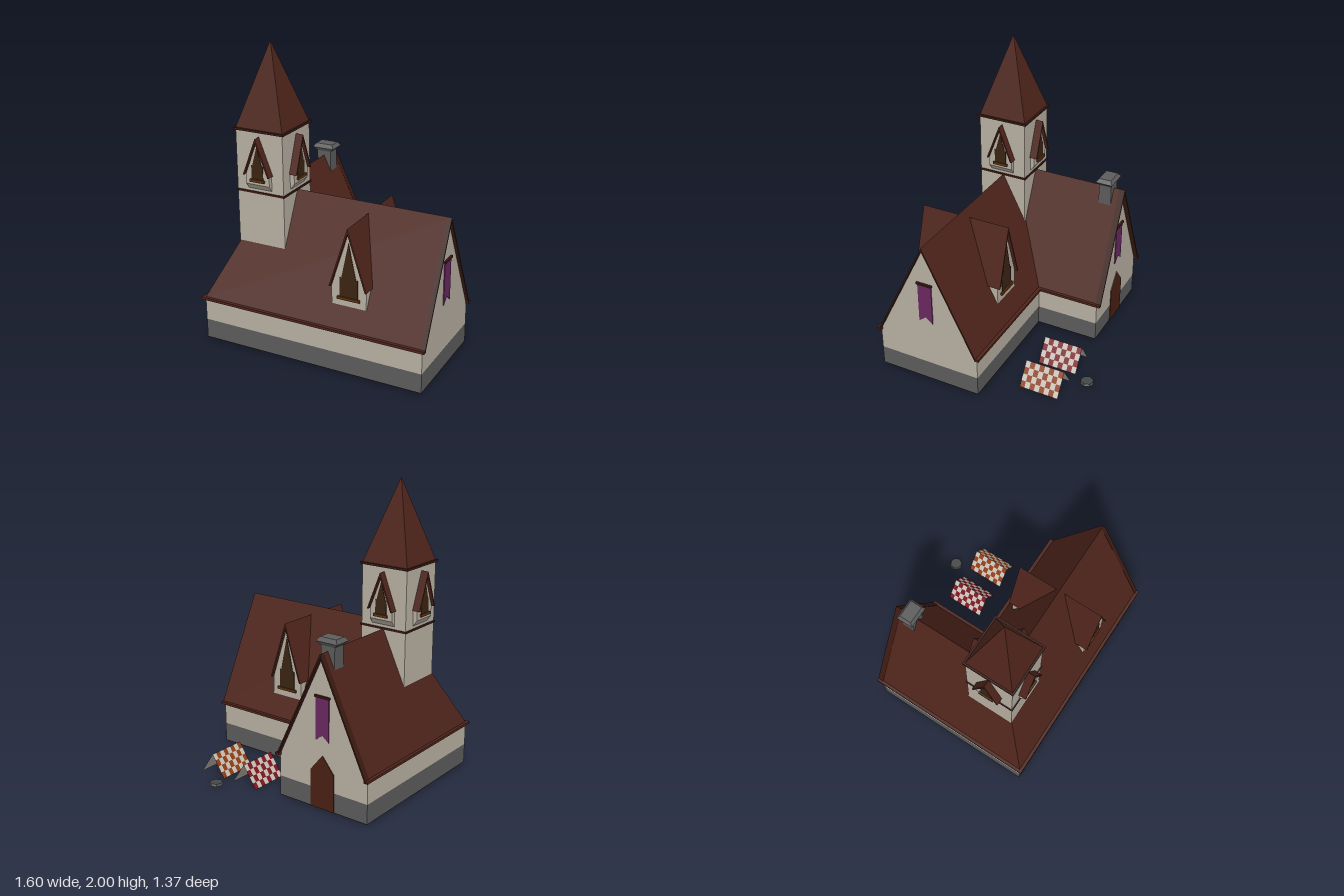
import * as THREE from 'three';

const COLORS = {
  roof: 0x4e241b, trim: 0x3a1a12, wall: 0xb8afa2, stone: 0x5c5c5c, glass: 0x3a2412,
  sill: 0x5a3210, door: 0x4a2014, banner: 0x6a2860, cloth: 0xc8c0b6, floor: 0x3a1c14,
  crimson: 0x7a1420, orange: 0x8e3c14, canvas: 0xa8a49c, iron: 0x454848,
};

function part(parent, name, geometry, color, doubleSided = false) {
  const material = new THREE.MeshStandardMaterial({ color: COLORS[color], flatShading: true });
  if (doubleSided) material.side = THREE.DoubleSide;
  const mesh = new THREE.Mesh(geometry, material);
  mesh.name = name;
  parent.add(mesh);
  return mesh;
}

// Box given by its limits on each axis
function block(x0, x1, y0, y1, z0, z1) {
  return new THREE.BoxGeometry(x1 - x0, y1 - y0, z1 - z0)
    .translate((x0 + x1) / 2, (y0 + y1) / 2, (z0 + z1) / 2);
}

const outline = (pts) => new THREE.Shape(pts.map(([a, b]) => new THREE.Vector2(a, b)));

// Extrusions: (x, y) outline along z, (z, y) outline along x, (x, z) outline along y
function alongZ(pts, z0, z1) {
  return new THREE.ExtrudeGeometry(outline(pts), { depth: z1 - z0, bevelEnabled: false }).translate(0, 0, z0);
}
function alongX(pts, x0, x1) {
  return alongZ(pts.map(([z, y]) => [-z, y]), x0, x1).rotateY(Math.PI / 2);
}
function alongY(pts, y0, y1) {
  return alongZ(pts.map(([x, z]) => [x, -z]), y0, y1).rotateX(-Math.PI / 2);
}

// Flat four-cornered faces
function quads(list) {
  const pos = [];
  for (const [a, b, c, d] of list) pos.push(...a, ...b, ...c, ...a, ...c, ...d);
  const g = new THREE.BufferGeometry();
  g.setAttribute('position', new THREE.Float32BufferAttribute(pos, 3));
  g.computeVertexNormals();
  return g;
}

// Rectangular frustum centred on the y axis
function frustum(bx, bz, tx, tz, y0, y1) {
  const ring = (hx, hz, y) => [[-hx, y, hz], [hx, y, hz], [hx, y, -hz], [-hx, y, -hz]];
  const b = ring(bx, bz, y0), t = ring(tx, tz, y1);
  const sides = b.map((p, i) => [p, b[(i + 1) % 4], t[(i + 1) % 4], t[i]]);
  return quads([...sides, t, [...b].reverse()]);
}

const chevron = (c, w, yE, yR, t) => {
  const drop = t * (yR - yE) / w;
  return [[c - w, yE], [c, yR], [c + w, yE], [c + w - t, yE], [c, yR - drop], [c - w + t, yE]];
};

// Gabled window facing +z: wall, roof, pointed window and sill
function dormer(name, o) {
  const g = new THREE.Group();
  g.name = name;
  const t = 0.01, w = o.half - t, peak = o.ridge - t * (o.ridge - o.eave) / o.half;
  part(g, 'dormerWall', alongZ([[-w, o.bottom], [w, o.bottom], [w, o.eave], [0, peak], [-w, o.eave]], o.back, o.front), 'wall');
  part(g, 'dormerRoof', alongZ(chevron(0, o.half, o.eave, o.ridge, t), o.back, o.front + 0.022), 'roof');
  const [h, y0, y1, y2] = o.window;
  part(g, 'window', alongZ([[-h, y0], [h, y0], [h, y1], [h * 0.8, y1], [0, y2], [-h * 0.8, y1], [-h, y1]], o.front - 0.01, o.front + 0.004), 'glass');
  part(g, 'windowSill', block(-h * 1.25, h * 1.25, y0 - 0.01, y0 + 0.008, o.front, o.front + 0.014), 'sill');
  return g;
}

// Hanging swallow-tailed banner facing +z with its rod
function banner(name) {
  const g = new THREE.Group();
  g.name = name;
  part(g, 'bannerCloth', alongZ([[-0.05, 0.765], [0.05, 0.765], [0.05, 0.475], [0, 0.515], [-0.05, 0.475]], 0, 0.006), 'banner');
  part(g, 'bannerRod', block(-0.057, 0.057, 0.759, 0.773, 0, 0.014), 'trim');
  return g;
}

// Open tent of two chequered slopes
function tent(name, cx, color) {
  const g = new THREE.Group();
  g.name = name;
  const checks = [[], []], inside = [];
  for (const s of [1, -1]) {
    const p = (u, v) => [cx + s * 0.1 * u, 0.15 * (1 - u), -0.255 - 0.275 * v];
    const face = (u, v, du, dv) => {
      const q = [p(u, v), p(u + du, v), p(u + du, v + dv), p(u, v + dv)];
      return s > 0 ? q : q.reverse();
    };
    for (let i = 0; i < 4; i++)
      for (let j = 0; j < 8; j++)
        checks[(i + j + (s > 0 ? 1 : 0)) % 2].push(face(i / 4, j / 8, 1 / 4, 1 / 8));
    inside.push(face(0, 0, 1, 1).reverse());
  }
  part(g, 'colouredChecks', quads(checks[0]), color);
  part(g, 'paleChecks', quads(checks[1]), 'cloth');
  part(g, 'tentLining', quads(inside), 'canvas');
  return g;
}

export function createModel() {
  const model = new THREE.Group();
  model.name = 'chapel';
  const RX = -0.44, RZ = 0.305, TOP = 1.045, EAVE = 0.31;

  // L-shaped floor, plinth and walls
  const plan = [[-0.78, 0.665], [0.78, 0.665], [0.78, -0.06], [-0.1, -0.06], [-0.1, -0.5], [-0.78, -0.5]];
  part(model, 'floor', alongY(plan, 0.017, 0.02), 'floor');
  part(model, 'plinth', alongY(plan, 0.02, 0.15), 'stone');
  part(model, 'walls', alongY(plan, 0.15, 0.305), 'wall');
  part(model, 'mainGable', alongX([[0.665, 0.3], [RZ, 1.03], [-0.06, 0.3]], 0.7, 0.78), 'wall');
  part(model, 'wingGable', alongZ([[-0.78, 0.3], [RX, 1.03], [-0.1, 0.3]], -0.5, -0.42), 'wall');

  // Roof slopes meeting in a hip and a valley
  const hip = [RX, TOP, RZ], corner = [-0.782, EAVE, 0.667], valley = [-0.098, EAVE, -0.062];
  const mainEnd = [0.8, TOP, RZ], wingEnd = [RX, TOP, -0.53];
  part(model, 'roof', quads([
    [corner, [0.8, EAVE, 0.667], mainEnd, hip],
    [hip, mainEnd, [0.8, EAVE, -0.062], valley],
    [[-0.782, EAVE, -0.53], corner, hip, wingEnd],
    [wingEnd, hip, valley, [-0.098, EAVE, -0.53]],
  ]), 'roof', true);

  // Eave lips and gable edges
  const eaves = [
    [-0.8, 0.8, 0.655, 0.685], [-0.8, -0.77, -0.53, 0.685],
    [-0.11, 0.8, -0.082, -0.05], [-0.11, -0.08, -0.53, -0.05],
  ];
  for (const [x0, x1, z0, z1] of eaves) part(model, 'eave', block(x0, x1, 0.3, 0.317, z0, z1), 'roof');
  part(model, 'mainGableEdge', alongX(chevron(RZ, 0.37, 0.302, TOP, 0.011), 0.77, 0.801), 'trim');
  part(model, 'wingGableEdge', alongZ(chevron(RX, 0.35, 0.302, TOP, 0.011), -0.531, -0.49), 'trim');

  // Roof dormers on both slopes of the main roof
  for (const s of [1, -1]) {
    const d = dormer(s > 0 ? 'frontDormer' : 'backDormer', {
      half: 0.13, bottom: 0.455, eave: 0.58, ridge: 0.985, back: 0.02, front: 0.298,
      window: [0.063, 0.51, 0.645, 0.885],
    });
    d.position.set(0.255, 0, RZ);
    d.rotation.y = s > 0 ? 0 : Math.PI;
    model.add(d);
  }

  // Tower over the roof corner
  const tower = new THREE.Group();
  tower.name = 'tower';
  tower.position.set(RX, 0, 0.31);
  part(tower, 'towerShaft', block(-0.17, 0.17, 0.3, 1.455, -0.17, 0.17), 'wall');
  part(tower, 'towerBelt', block(-0.177, 0.177, 1.04, 1.053, -0.177, 0.177), 'trim');
  part(tower, 'spireEave', block(-0.182, 0.182, 1.45, 1.464, -0.182, 0.182), 'trim');
  part(tower, 'spire', frustum(0.17, 0.17, 0.001, 0.001, 1.462, 2), 'roof');
  for (let i = 0; i < 4; i++) {
    const d = dormer('towerDormer', {
      half: 0.095, bottom: 1.11, eave: 1.175, ridge: 1.422, back: 0.1, front: 0.2,
      window: [0.042, 1.14, 1.24, 1.365],
    });
    part(d, 'corbel', alongX([[0.2, 1.11], [0.165, 1.11], [0.165, 1.065]], -0.085, 0.085), 'wall');
    d.rotation.y = i * Math.PI / 2;
    tower.add(d);
  }
  model.add(tower);

  // Chimney on the wing ridge
  const chimney = new THREE.Group();
  chimney.name = 'chimney';
  chimney.position.set(RX, 0, -0.407);
  part(chimney, 'chimneyShaft', block(-0.052, 0.052, 0.85, 1.09, -0.044, 0.044), 'stone');
  part(chimney, 'chimneyFlare', frustum(0.052, 0.044, 0.08, 0.06, 1.075, 1.1), 'stone');
  part(chimney, 'chimneyCap', frustum(0.08, 0.06, 0.062, 0.042, 1.1, 1.126), 'stone');
  model.add(chimney);

  // Door and banners on the gables
  part(model, 'door', alongZ([[-0.53, 0.018], [-0.35, 0.018], [-0.35, 0.27], [RX, 0.38], [-0.53, 0.27]], -0.505, -0.49), 'door');
  const mainBanner = banner('mainBanner');
  mainBanner.position.set(0.78, 0, RZ);
  mainBanner.rotation.y = Math.PI / 2;
  const wingBanner = banner('wingBanner');
  wingBanner.position.set(RX, 0, -0.5);
  wingBanner.rotation.y = Math.PI;
  model.add(mainBanner, wingBanner);

  // Yard: two tents and a round cover
  model.add(tent('crimsonTent', 0.19, 'crimson'), tent('orangeTent', 0.47, 'orange'));
  part(model, 'roundCover', new THREE.CylinderGeometry(0.042, 0.05, 0.014, 8).translate(0.34, 0.02, -0.637), 'iron');

  return model;
}
